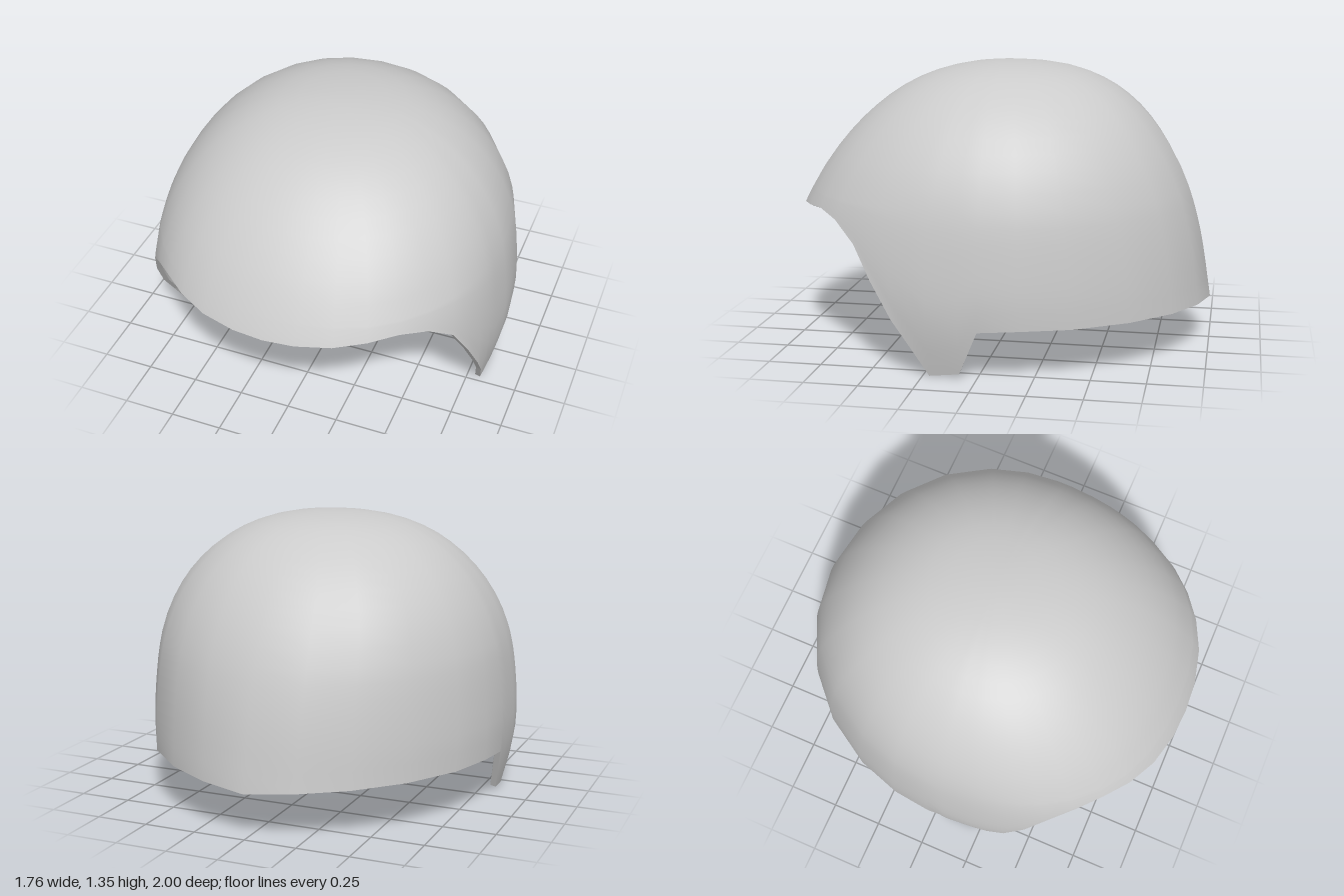
import * as THREE from 'three';

const TOP = 1.35, S_MAX = 1.2, ROWS = 20, UPPER_ROWS = 13, S_UPPER = 0.77, THICK = 0.027;

// Half-width, front reach and back reach of the dome at equal steps of sqrt(TOP - y)
const profile = new THREE.CatmullRomCurve3([
  [0, 0, 0], [0.255, 0.24, 0.275], [0.45, 0.45, 0.47], [0.61, 0.625, 0.63], [0.737, 0.787, 0.762],
  [0.826, 0.932, 0.87], [0.867, 1.04, 0.943], [0.875, 1.035, 0.986], [0.805, 1.0, 1.02],
].map((p) => new THREE.Vector3(...p)), false, 'catmullrom', 0.5);

// Lower rim as (z, y), from the brow over the cheek tip to the nape
const rim = [
  [1, 0.66], [0.99, 0.665], [0.95, 0.675], [0.88, 0.69], [0.79, 0.70], [0.69, 0.67], [0.58, 0.58],
  [0.49, 0.425], [0.39, 0.26], [0.30, 0.13], [0.22, 0], [0.08, 0.02], [-0.01, 0.23],
  [-0.2, 0.24], [-0.42, 0.24], [-0.66, 0.24], [-0.84, 0.235], [-0.95, 0.225], [-1, 0.21],
];

// Point of the dome at depth s, on the meridian with front/back ratio q
function domePoint(s, q, side) {
  const p = profile.getPoint(s / S_MAX);
  const n = q > 0
    ? 2.08 + 0.24 * THREE.MathUtils.smoothstep(s, 0.1, 0.8)
    : 2.08 - 0.16 * THREE.MathUtils.smoothstep(s, 0.5, 1.05);
  const x = p.x * Math.pow(Math.max(0, 1 - Math.pow(Math.abs(q), n)), 1 / n);
  return new THREE.Vector3(side * x, TOP - s * s, q * (q > 0 ? p.y : p.z));
}

// Depth of row j: level rows over the crown, then spreading down to the rim
function rowDepth(j, sRim) {
  if (j <= UPPER_ROWS) return S_UPPER * j / UPPER_ROWS;
  return THREE.MathUtils.lerp(S_UPPER, sRim, (j - UPPER_ROWS) / (ROWS - UPPER_ROWS));
}

function makeGeometry(points, index) {
  const g = new THREE.BufferGeometry().setFromPoints(points);
  g.setIndex(index);
  g.computeVertexNormals();
  return g;
}

export function createModel() {
  const helmet = new THREE.Group();
  helmet.name = 'helmet';
  const material = new THREE.MeshStandardMaterial({ color: 0xcccccc });
  const flat = new THREE.MeshStandardMaterial({ color: 0xcccccc, flatShading: true });

  // Meridians all the way round: +x half, then its mirror
  const half = rim.map(([z, y], i) => {
    const s = Math.sqrt(TOP - y), p = profile.getPoint(s / S_MAX);
    const end = i === 0 || i === rim.length - 1;
    const q = end ? Math.sign(z) : THREE.MathUtils.clamp(z / (z > 0 ? p.y : p.z), -1, 1);
    return { s, q, side: 1 };
  });
  const mirrored = half.slice(1, -1).reverse().map((c) => ({ ...c, side: -1 }));
  const columns = [...half, ...mirrored];
  const N = columns.length;

  // Outer shell with a single crown vertex
  const outer = [new THREE.Vector3(0, TOP, 0)];
  for (const c of columns) {
    for (let j = 1; j <= ROWS; j++) {
      const p = domePoint(rowDepth(j, c.s), c.q, c.side);
      if (c.q === -1) p.z -= 0.01 * Math.pow(j / ROWS, 8); // slight point at the nape
      outer.push(p);
    }
  }
  const id = (i, j) => (j === 0 ? 0 : 1 + (i % N) * ROWS + j - 1);
  const faces = [];
  for (let i = 0; i < N; i++) {
    for (let j = 0; j < ROWS; j++) {
      const a = id(i, j), b = id(i, j + 1), c = id(i + 1, j + 1), d = id(i + 1, j);
      faces.push(a, b, c);
      if (j > 0) faces.push(a, c, d);
    }
  }
  const outerGeo = makeGeometry(outer, faces);

  // Inner shell: outer shell moved inward along its normals, facing the other way
  const normals = outerGeo.attributes.normal;
  const inner = outer.map((p, k) =>
    p.clone().addScaledVector(new THREE.Vector3().fromBufferAttribute(normals, k), -THICK));
  const innerGeo = makeGeometry(inner, faces.slice().reverse());

  // Rim band closing the gap between both shells
  const band = [], bandFaces = [];
  for (let i = 0; i < N; i++) {
    band.push(outer[id(i, ROWS)], inner[id(i, ROWS)]);
    const o = 2 * i, o2 = 2 * ((i + 1) % N);
    bandFaces.push(o, o + 1, o2 + 1, o, o2 + 1, o2);
  }

  const add = (name, geometry, mat) => {
    const mesh = new THREE.Mesh(geometry, mat);
    mesh.name = name;
    helmet.add(mesh);
  };
  add('outerShell', outerGeo, material);
  add('innerShell', innerGeo, material);
  add('rimEdge', makeGeometry(band, bandFaces), flat);
  return helmet;
}
